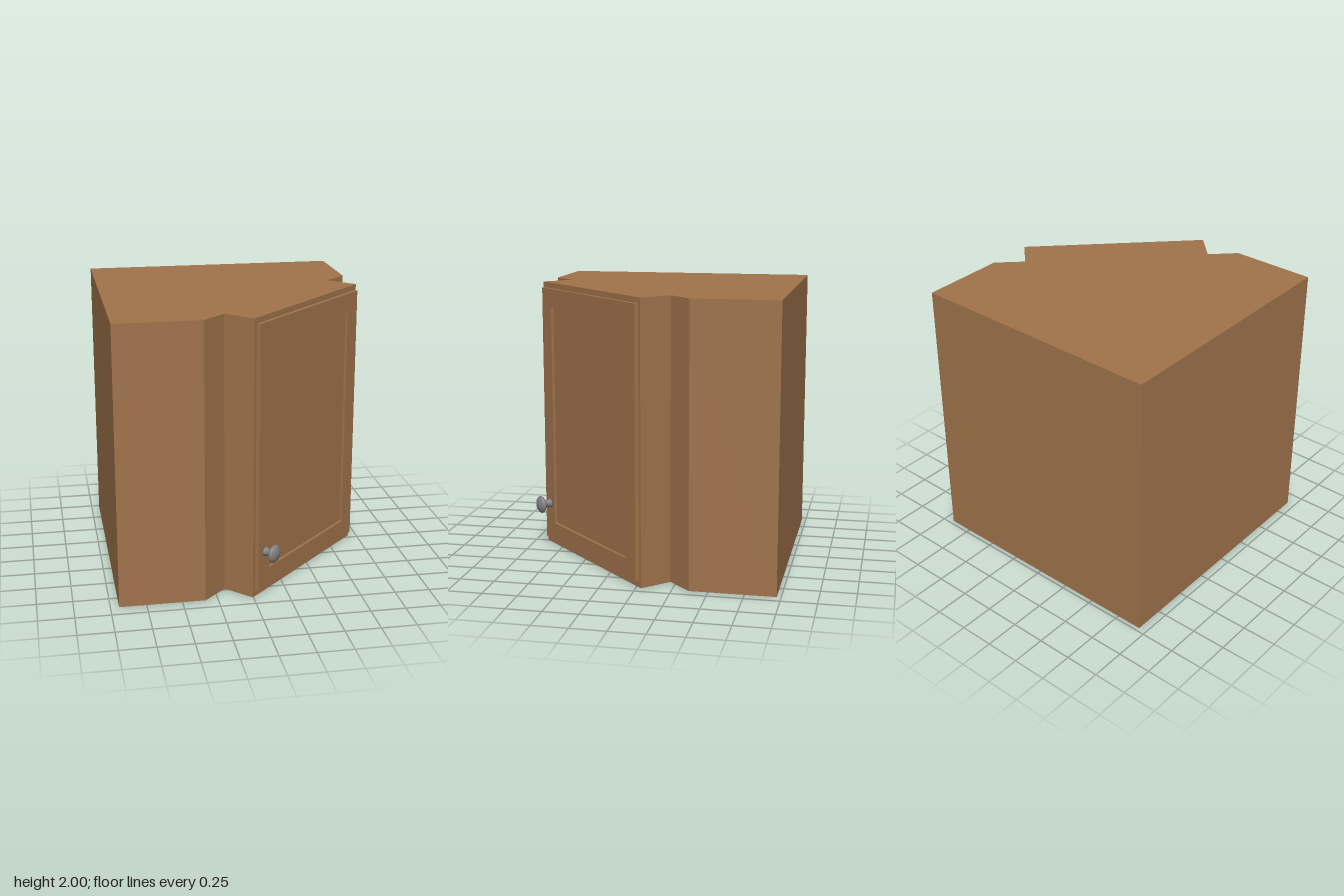
import * as THREE from 'three';

const wood = new THREE.MeshStandardMaterial({ color: 0xa0734b });
wood.name = 'wood';
const metal = new THREE.MeshStandardMaterial({ color: 0x808080 });
metal.name = 'knobMetal';

function addMesh(parent, name, geometry, material) {
  const mesh = new THREE.Mesh(geometry, material);
  mesh.name = name;
  parent.add(mesh);
  return mesh;
}

// closed rectangle centred on x, between two heights
function rectangle(PathType, halfWidth, bottom, top) {
  const path = new PathType();
  path.moveTo(-halfWidth, bottom);
  path.lineTo(halfWidth, bottom);
  path.lineTo(halfWidth, top);
  path.lineTo(-halfWidth, top);
  path.closePath();
  return path;
}

export function createModel() {
  const model = new THREE.Group();
  model.name = 'cornerCabinet';

  // cabinet body: floor plan in (x, z), with a notch on each side of the face
  const plan = [
    [-0.94, -0.97], [0.925, -0.97], [0.925, -0.365], [0.765, -0.21], [0.937, -0.037],
    [-0.005, 0.905], [-0.177, 0.733], [-0.337, 0.892], [-0.94, 0.892],
  ];
  const planShape = new THREE.Shape(plan.map(([x, z]) => new THREE.Vector2(x, -z)));
  const body = new THREE.ExtrudeGeometry(planShape, { depth: 2, bevelEnabled: false });
  body.rotateX(-Math.PI / 2);
  addMesh(model, 'cabinetBody', body, wood);

  // door on the diagonal face
  const door = new THREE.Group();
  door.name = 'door';
  door.position.set(0.4675, 0, 0.4325);
  door.rotation.y = Math.PI / 4;
  model.add(door);

  // stiles and rails around the sunken panel
  const frame = rectangle(THREE.Shape, 0.64, 0.047, 1.96);
  frame.holes.push(rectangle(THREE.Path, 0.509, 0.18, 1.828));
  addMesh(door, 'doorFrame',
    new THREE.ExtrudeGeometry(frame, { depth: 0.028, bevelEnabled: false }), wood);
  const panel = addMesh(door, 'doorPanel', new THREE.BoxGeometry(1.018, 1.648, 0.008), wood);
  panel.position.set(0, 1.004, 0.004);

  // round knob: flared foot, thin neck, domed head
  const profile = [
    [0, 0], [0.034, 0], [0.032, 0.012], [0.027, 0.03], [0.027, 0.058], [0.04, 0.065],
    [0.058, 0.07], [0.065, 0.078], [0.064, 0.086], [0.054, 0.097], [0.036, 0.106],
    [0.018, 0.111], [0, 0.112],
  ].map(([r, h]) => new THREE.Vector2(r, h));
  const knob = addMesh(door, 'knob', new THREE.LatheGeometry(profile, 32), metal);
  knob.rotation.x = Math.PI / 2;
  knob.position.set(-0.568, 0.325, 0.028);

  return model;
}
